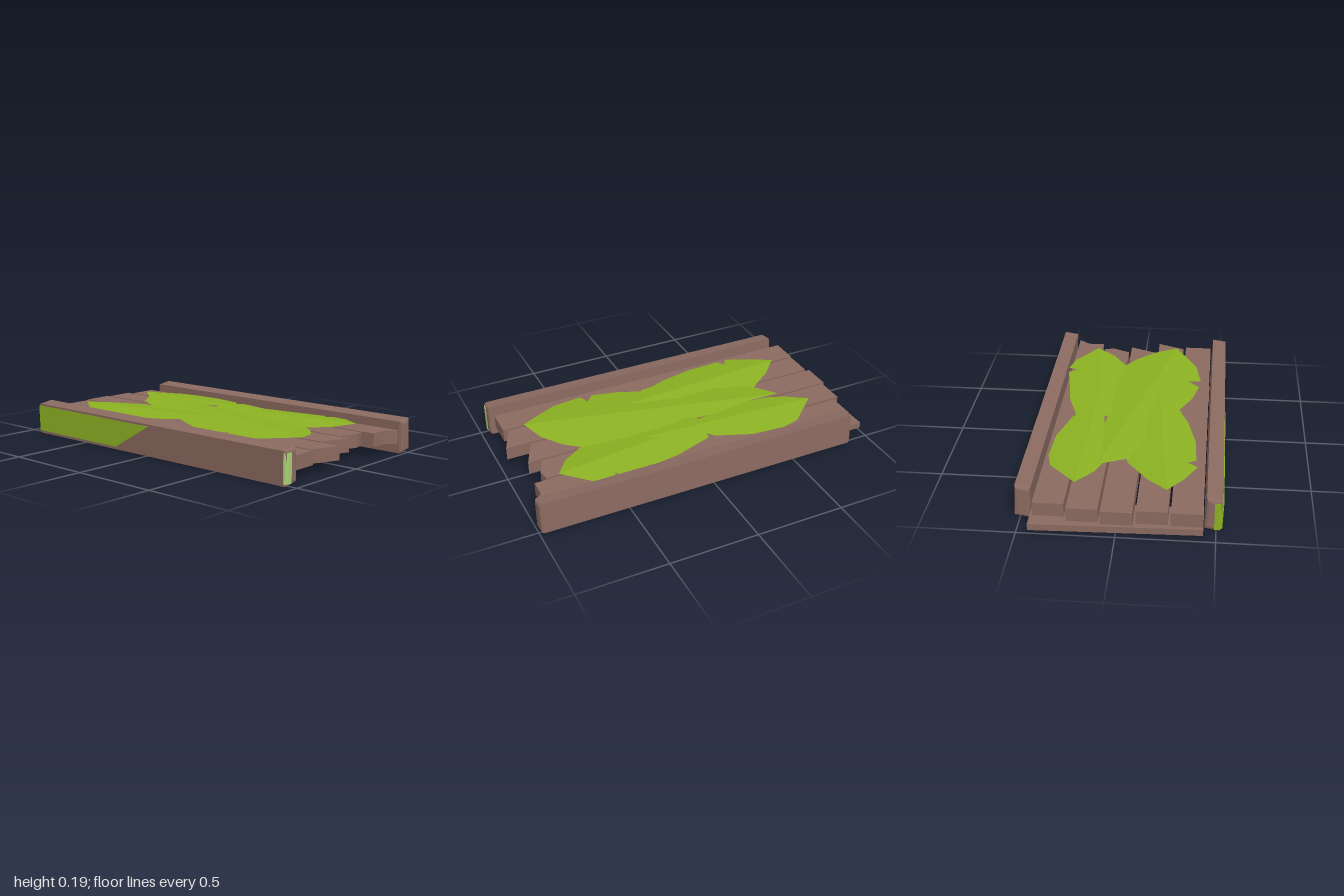
import * as THREE from 'three';

const wood = new THREE.MeshStandardMaterial({ name: 'brown wood', color: 0x8a6a60 });
const green = new THREE.MeshStandardMaterial({ name: 'leaf green', color: 0x8cb222, side: THREE.DoubleSide });
const pale = new THREE.MeshStandardMaterial({ name: 'pale moss', color: 0xa8d070 });

const shapeOf = pts => new THREE.Shape(pts.map(([a, b]) => new THREE.Vector2(a, b)));

export function createModel() {
  const model = new THREE.Group();
  model.name = 'leafyWoodenRaft';

  function add(name, geometry, material) {
    const mesh = new THREE.Mesh(geometry, material);
    mesh.name = name;
    model.add(mesh);
    return mesh;
  }

  // Solid with a plan outline of [x, z] corners between two heights
  function slab(name, plan, y0, y1, material) {
    const g = new THREE.ExtrudeGeometry(shapeOf(plan.map(([x, z]) => [x, -z])), { depth: y1 - y0, bevelEnabled: false });
    g.rotateX(-Math.PI / 2).translate(0, y0, 0);
    return add(name, g, material);
  }

  // Deck planks with broken ends: back z, front z, right end, left end outline
  const planks = [
    [-0.425, -0.265, -0.925, [[0.98, -0.425], [0.93, -0.36], [0.93, -0.265]]],
    [-0.25, -0.09, -0.96, [[0.86, -0.25], [0.87, -0.19], [0.825, -0.09]]],
    [-0.077, 0.085, -0.975, [[0.9, -0.077], [0.83, 0.085]]],
    [0.1, 0.26, -0.955, [[0.965, 0.1], [0.9, 0.26]]],
    [0.274, 0.435, -0.96, [[0.925, 0.274], [0.925, 0.435]]],
  ];
  planks.forEach(([z0, z1, x0, end], i) =>
    slab('plank' + (i + 1), [[x0, z0], ...end, [x0, z1]], 0.06, 0.135, wood));

  // Cross beams under the deck
  slab('endBeam', [[-1, -0.44], [-0.8, -0.44], [-0.78, 0.437], [-0.975, 0.437]], 0.02, 0.056, wood);
  slab('middleBeam', [[0.36, -0.42], [0.555, -0.42], [0.55, 0.437], [0.36, 0.437]], 0.02, 0.056, wood);

  // Leaning side rails with worn edges
  const b = 0.016;
  function rail(name, x0, x1, dz) {
    const section = [[0.53 - b, 0.182 - b], [0.447 + b, 0.19 - b], [0.44 + b, 0.012 + b], [0.525 - b, 0.003 + b]];
    const g = new THREE.ExtrudeGeometry(shapeOf(section.map(([z, y]) => [-(z + dz), y])), {
      depth: x1 - x0 - 2 * b, bevelThickness: b, bevelSize: b, bevelSegments: 2,
    });
    g.rotateY(Math.PI / 2).translate(x0 + b, 0, 0);
    add(name, g, wood);
  }
  rail('frontRail', -0.908, 0.957, 0);
  rail('backRail', -0.872, 0.993, -0.97);

  // Moss painted on the front rail face, following its lean
  const patch = new THREE.ExtrudeGeometry(
    shapeOf([[-0.9, 0.018], [-0.24, 0.018], [0.02, 0.168], [-0.9, 0.168]]), { depth: 0.004, bevelEnabled: false });
  const p = patch.attributes.position;
  for (let i = 0; i < p.count; i++) p.setZ(i, p.getZ(i) + 0.527 + 0.028 * (p.getY(i) - 0.018));
  add('frontMoss', patch, green);

  // Moss wrapped round the outer corners of the front rail
  const corner = (x, s) => [[x, 0.49], [x, 0.515], [x - s * 0.014, 0.53], [x - s * 0.022, 0.53], [x - s * 0.022, 0.49]];
  slab('leftEndMoss', corner(0.96, 1), 0.015, 0.17, pale);
  slab('rightEndMoss', corner(-0.911, -1), 0.015, 0.17, green);

  // Folded leaf: two halves falling away from a straight rib [x, y, z] to [x, y, z]
  function leaf(name, base, tip, edges) {
    const group = new THREE.Group();
    group.name = name;
    const dx = tip[0] - base[0], dz = tip[2] - base[2], len = Math.hypot(dx, dz);
    edges.forEach(edge => {
      const outline = [[base[0], base[2]], ...edge, [tip[0], tip[2]]];
      let g = new THREE.ShapeGeometry(shapeOf(outline.map(([x, z]) => [x, -z])));
      g.rotateX(-Math.PI / 2);
      g = g.toNonIndexed();
      const pos = g.attributes.position;
      for (let i = 0; i < pos.count; i++) {
        const px = pos.getX(i) - base[0], pz = pos.getZ(i) - base[2];
        const t = (px * dx + pz * dz) / (len * len);
        const away = Math.abs(px * dz - pz * dx) / len;
        pos.setY(i, base[1] + (tip[1] - base[1]) * t - 0.11 * away);
      }
      g.computeVertexNormals();
      const half = new THREE.Mesh(g, green);
      half.name = 'leafHalf';
      group.add(half);
    });
    model.add(group);
  }

  leaf('longLeaf', [-0.62, 0.186, -0.13], [0.82, 0.178, 0.22], [
    [[-0.45, -0.12], [-0.2, -0.14], [0.1, -0.12], [0.35, -0.12], [0.6, -0.09], [0.68, -0.03], [0.77, 0.08]],
    [[-0.53, 0.02], [-0.4, 0.08], [-0.1, 0.2], [0.07, 0.28], [0.2, 0.34], [0.35, 0.375], [0.4, 0.31], [0.42, 0.385], [0.6, 0.35], [0.72, 0.28]],
  ]);
  leaf('backRightLeaf', [0.26, 0.186, -0.2], [-0.77, 0.168, -0.23], [
    [[0.15, -0.25], [0.07, -0.28], [-0.02, -0.315], [-0.04, -0.27], [-0.1, -0.33], [-0.3, -0.395], [-0.5, -0.405], [-0.6, -0.38]],
    [[0.22, -0.165], [0.05, -0.13], [-0.06, -0.1], [-0.09, -0.15], [-0.16, -0.14], [-0.2, -0.11], [-0.4, -0.09], [-0.55, -0.1], [-0.65, -0.14]],
  ]);
  leaf('frontRightLeaf', [0.22, 0.188, 0.145], [-0.8, 0.166, 0.245], [
    [[0, 0.11], [-0.2, 0.06], [-0.4, 0.01], [-0.53, 0.02], [-0.7, 0.14]],
    [[0.07, 0.27], [0, 0.28], [-0.1, 0.325], [-0.3, 0.375], [-0.49, 0.385], [-0.52, 0.34], [-0.55, 0.395], [-0.68, 0.33]],
  ]);
  leaf('backLeftLeaf', [-0.1, 0.166, -0.17], [0.8, 0.168, -0.285], [
    [[-0.07, -0.31], [0.15, -0.38], [0.35, -0.41], [0.49, -0.435], [0.52, -0.385], [0.55, -0.44], [0.65, -0.41]],
    [[0.1, -0.06], [0.3, -0.02], [0.45, -0.03], [0.6, -0.085], [0.72, -0.17]],
  ]);

  return model;
}
